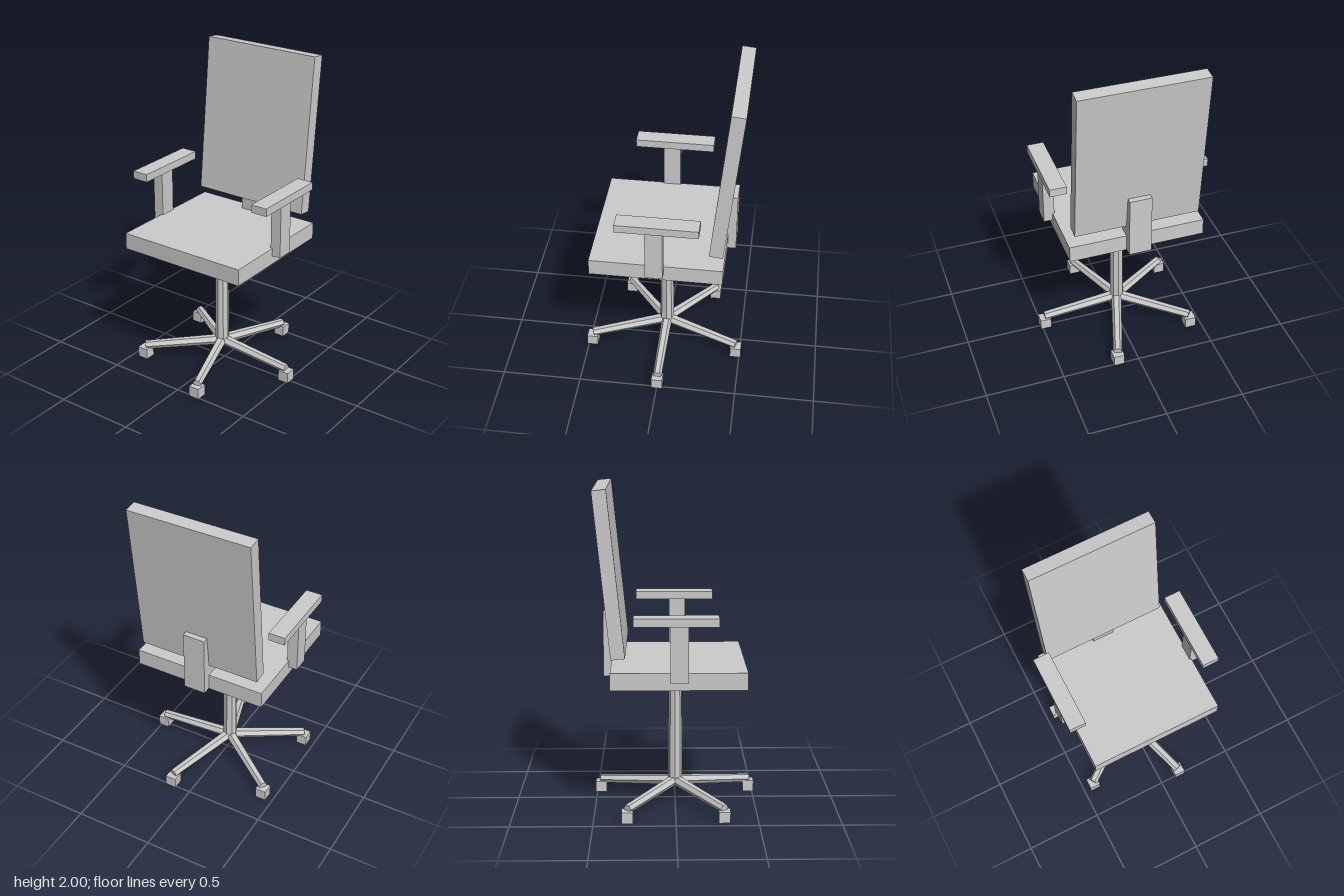
import * as THREE from 'three';

export function createModel() {
  const chair = new THREE.Group();
  chair.name = 'officeChair';
  const grey = new THREE.MeshStandardMaterial({ color: 0xcccccc });
  grey.name = 'lightGrey';

  const AXIS_X = -0.02; // swivel axis of the chair

  const add = (name, geometry, x, y, z) => {
    const mesh = new THREE.Mesh(geometry, grey);
    mesh.name = name;
    mesh.position.set(x, y, z);
    chair.add(mesh);
    return mesh;
  };
  const box = (name, w, h, d, x, y, z) =>
    add(name, new THREE.BoxGeometry(w, h, d), x, y, z);
  const faceted = (geometry) => {
    const flat = geometry.toNonIndexed();
    flat.computeVertexNormals();
    return flat;
  };

  // Seat and reclined backrest
  box('seat', 0.854, 0.105, 0.815, AXIS_X, 0.877, 0.018);
  const back = box('backrest', 0.785, 0.996, 0.085, AXIS_X, 1.5, -0.392);
  back.rotation.x = -0.1;

  // Bracket joining seat and backrest
  box('backBracketUpright', 0.14, 0.39, 0.053, AXIS_X, 1.02, -0.415);
  box('backBracketFoot', 0.14, 0.1, 0.075, AXIS_X, 0.975, -0.353);

  // Armrests
  for (const side of [-1, 1]) {
    const label = side > 0 ? 'left' : 'right';
    box(label + 'ArmPost', 0.068, 0.34, 0.106, AXIS_X + side * 0.449, 1.05, 0.02);
    box(label + 'ArmPad', 0.105, 0.05, 0.498, AXIS_X + side * 0.445, 1.245, 0.001);
  }

  // Tapered octagonal column
  add('column', faceted(new THREE.CylinderGeometry(0.04, 0.046, 0.72, 8)), AXIS_X, 0.475, 0);

  // Five-star base: hexagonal legs, each ending on a square foot
  const up = new THREE.Vector3(0, 1, 0);
  for (let i = 0; i < 5; i++) {
    const angle = (i * Math.PI * 2) / 5;
    const start = new THREE.Vector3(0, 0.125, 0);
    const end = new THREE.Vector3(0.5, 0.08, 0);
    const dir = end.clone().sub(start);
    const geometry = faceted(new THREE.CylinderGeometry(0.028, 0.034, dir.length(), 6));
    geometry.applyQuaternion(new THREE.Quaternion().setFromUnitVectors(up, dir.normalize()));
    geometry.translate(0.25, 0.1025, 0);
    geometry.rotateY(angle);
    add('baseLeg' + (i + 1), geometry, AXIS_X, 0, 0);
    box('foot' + (i + 1), 0.07, 0.07, 0.07,
      AXIS_X + 0.5 * Math.cos(angle), 0.035, -0.5 * Math.sin(angle));
  }

  return chair;
}
